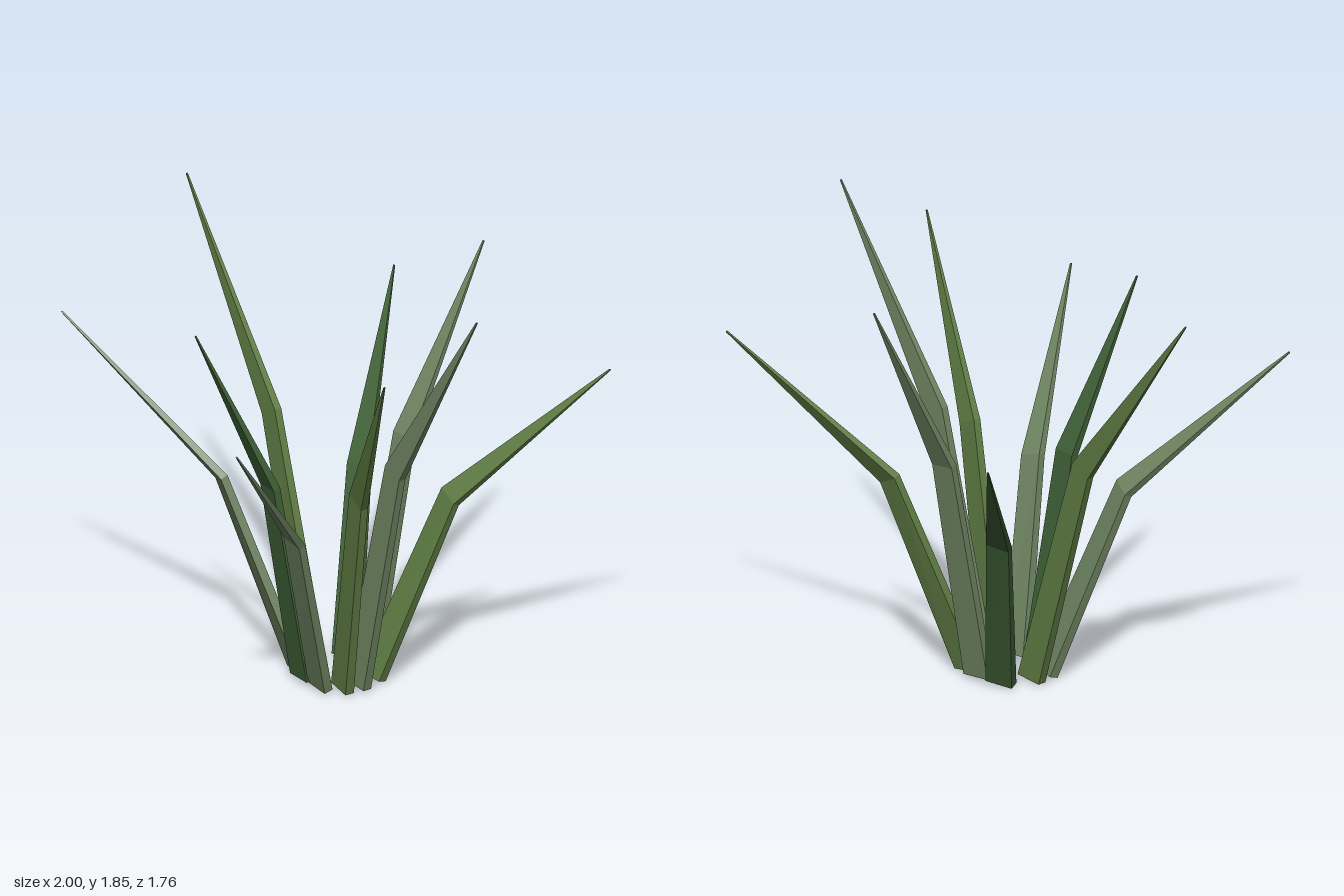
import * as THREE from 'three';

const V = (x, y, z) => new THREE.Vector3(x, y, z);

const makeMaterial = (color) =>
  new THREE.MeshStandardMaterial({ color, flatShading: true, roughness: 0.9 });

// Four corners around a centre, counter-clockwise about the growing direction
function section(centre, width, tangent, halfThickness) {
  const n = tangent.clone().cross(width).normalize().multiplyScalar(halfThickness);
  return [[1, 1], [-1, 1], [-1, -1], [1, -1]].map(([a, b]) =>
    centre.clone().addScaledVector(width, a).addScaledVector(n, b));
}

// A bent, tapering blade: base section, bend section and pointed tip
function bladeGeometry(base, bend, tip, yaw) {
  const lower = bend.clone().sub(base).normalize();
  const upper = tip.clone().sub(bend).normalize();
  const middle = lower.clone().add(upper).normalize();
  const across = V(1, 0, yaw).normalize();

  const baseWidth = across.clone().multiplyScalar(0.06);
  baseWidth.y = -0.02 * lower.x;
  const bendWidth = across.clone()
    .addScaledVector(middle, -across.dot(middle)).normalize().multiplyScalar(0.049);

  const a = section(base, baseWidth, lower, 0.019);
  const b = section(bend, bendWidth, middle, 0.016);
  const c = section(tip, bendWidth.clone().multiplyScalar(0.06), upper, 0.003);

  const points = [];
  const quad = (p, q, r, s) => points.push(p, q, r, p, r, s);
  for (const [from, to] of [[a, b], [b, c]]) {
    for (let i = 0; i < 4; i++) {
      const j = (i + 1) % 4;
      quad(from[i], from[j], to[j], to[i]);
    }
  }
  quad(a[3], a[2], a[1], a[0]);
  quad(c[0], c[1], c[2], c[3]);

  const geometry = new THREE.BufferGeometry().setFromPoints(points);
  geometry.computeVertexNormals();
  return geometry;
}

export function createModel() {
  const group = new THREE.Group();
  group.name = 'grassTuft';

  const olive = makeMaterial(0x5f7d44);
  const sage = makeMaterial(0x6f8562);
  const deep = makeMaterial(0x3f6037);

  // name, material, base, bend, tip, sideways turn of the blade
  const blades = [
    ['backRightBlade', deep, V(-0.015, 0.02, -0.135), V(-0.225, 0.72, -0.365), V(-0.66, 1.29, -0.88), -0.25],
    ['backBlade', sage, V(0.095, 0.025, -0.15), V(0.105, 0.97, -0.335), V(0.122, 1.715, -0.72), -0.12],
    ['backLeftBlade', olive, V(0.19, 0.015, -0.105), V(0.425, 0.82, -0.315), V(0.92, 1.43, -0.735), -0.08],
    ['leftBlade', sage, V(0.22, 0.015, -0.01), V(0.46, 1.02, -0.01), V(0.99, 1.855, -0.008), 0],
    ['frontLeftBlade', olive, V(0.21, 0.015, 0.06), V(0.435, 0.93, 0.155), V(0.89, 1.645, 0.38), 0.17],
    ['frontLeftLowBlade', sage, V(0.15, 0.02, 0.125), V(0.29, 0.765, 0.365), V(0.57, 1.365, 0.875), 0.08],
    ['frontBlade', deep, V(0.04, 0.025, 0.13), V(0.01, 0.88, 0.268), V(-0.092, 1.575, 0.565), 0.08],
    ['frontRightBlade', sage, V(-0.055, 0.015, 0.08), V(-0.305, 0.81, 0.268), V(-0.86, 1.435, 0.64), 0.25],
    ['rightBlade', olive, V(-0.065, 0.015, -0.012), V(-0.37, 0.99, -0.035), V(-1, 1.785, -0.1), 0.04],
  ];

  for (const [name, material, base, bend, tip, yaw] of blades) {
    const mesh = new THREE.Mesh(bladeGeometry(base, bend, tip, yaw), material);
    mesh.name = name;
    group.add(mesh);
  }
  return group;
}
